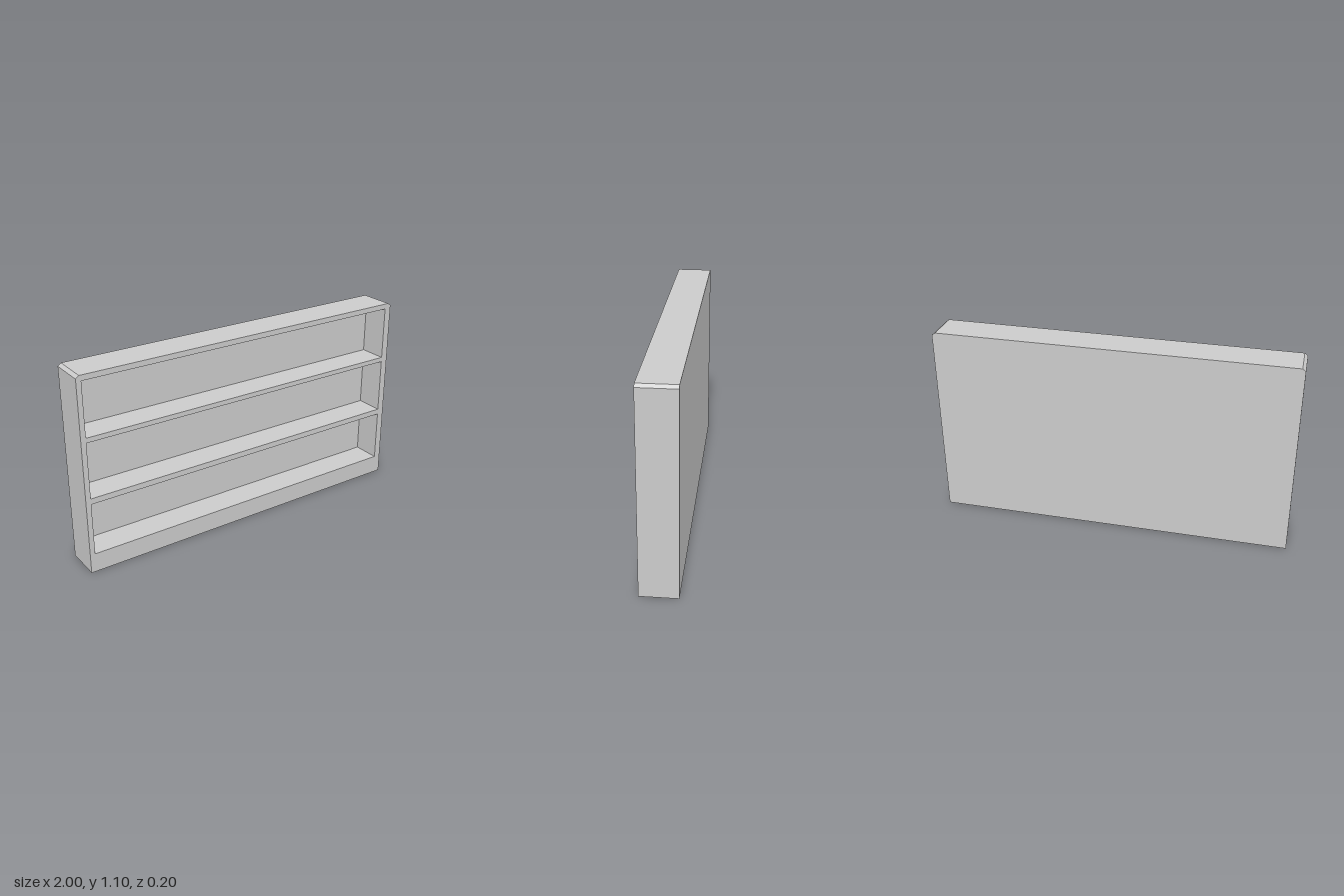
import * as THREE from 'three';

const HEIGHT = 1.1, FRONT = 0.1, BACK = -0.1, RECESS = -0.06;

// Cabinet outline with small cut corners at the top
function outline() {
  return new THREE.Shape([
    [-1, 0], [1, 0], [1, HEIGHT - 0.014], [0.982, HEIGHT],
    [-0.982, HEIGHT], [-1, HEIGHT - 0.014],
  ].map(([x, y]) => new THREE.Vector2(x, y)));
}

// Rectangular shelf opening
function opening(bottom, top) {
  return new THREE.Path([
    [-0.972, bottom], [-0.972, top], [0.96, top], [0.96, bottom],
  ].map(([x, y]) => new THREE.Vector2(x, y)));
}

export function createModel() {
  const group = new THREE.Group();
  group.name = 'shelfUnit';
  const material = new THREE.MeshStandardMaterial({ color: 0xcccccc, flatShading: true });

  const addSlab = (name, shape, z0, z1) => {
    const geometry = new THREE.ExtrudeGeometry(shape, { depth: z1 - z0, bevelEnabled: false });
    geometry.translate(0, 0, z0);
    const mesh = new THREE.Mesh(geometry, material);
    mesh.name = name;
    group.add(mesh);
  };

  // Frame and shelves, pierced by three compartments
  const frame = outline();
  for (const [bottom, top] of [[0.107, 0.4], [0.432, 0.743], [0.77, 1.07]]) {
    frame.holes.push(opening(bottom, top));
  }
  addSlab('frameWithShelves', frame, RECESS, FRONT);

  // Solid back panel closing the compartments
  addSlab('backPanel', outline(), BACK, RECESS);

  return group;
}
